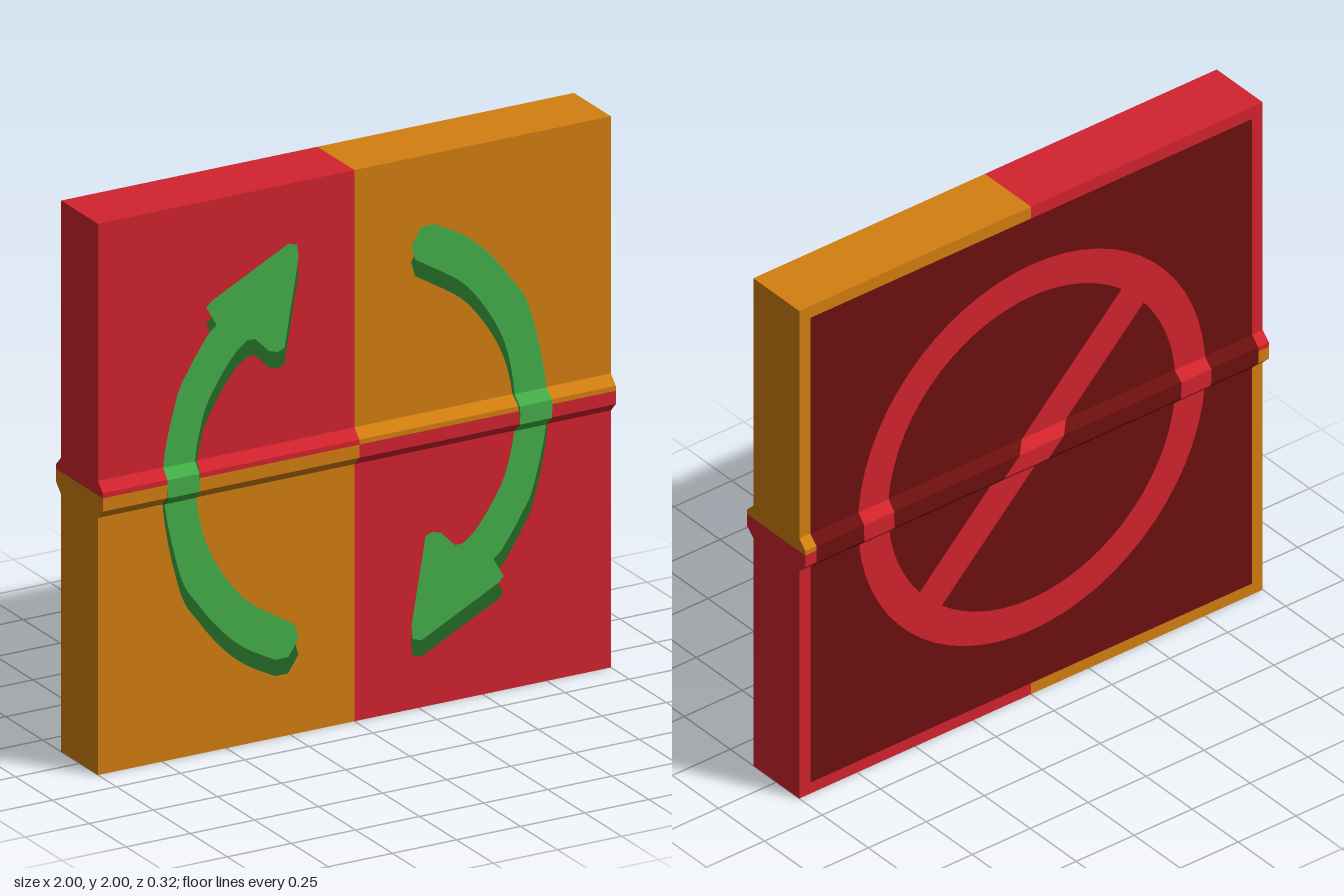
import * as THREE from 'three';

const mat = (name, color) => Object.assign(new THREE.MeshStandardMaterial({ color }), { name });

// Depth profile of the slab: [y, half depth], with the ridge round the middle
const PROFILE = [[0, 0.125], [0.933, 0.125], [0.967, 0.158], [1.033, 0.158], [1.067, 0.125], [2, 0.125]];
const MID = 1.015;

function halfDepth(y) {
  for (let i = 1; i < PROFILE.length; i++) {
    const [y0, d0] = PROFILE[i - 1], [y1, d1] = PROFILE[i];
    if (y <= y1) return d0 + (d1 - d0) * (y - y0) / (y1 - y0);
  }
  return PROFILE[PROFILE.length - 1][1];
}

// Keep the part of a convex polygon where s * (y - level) >= 0
function clip(poly, level, s) {
  const out = [];
  poly.forEach((a, i) => {
    const b = poly[(i + 1) % poly.length];
    const da = s * (a.y - level), db = s * (b.y - level);
    if (da >= 0) out.push(a);
    if (da * db < 0) out.push(a.clone().lerp(b, da / (da - db)));
  });
  return out;
}

// Lay a flat shape on the front (side 1) or back (side -1), folding it over the ridge
function drape(name, shape, material, side, lift) {
  const flat = new THREE.ShapeGeometry(shape, 32).toNonIndexed().getAttribute('position');
  const pos = [];
  for (let t = 0; t < flat.count; t += 3) {
    const tri = [0, 1, 2].map(k => new THREE.Vector2(flat.getX(t + k), flat.getY(t + k)));
    for (let i = 1; i < PROFILE.length; i++) {
      const p = clip(clip(tri, PROFILE[i - 1][0], 1), PROFILE[i][0], -1);
      for (let k = 2; k < p.length; k++) {
        const fan = side > 0 ? [p[0], p[k - 1], p[k]] : [p[0], p[k], p[k - 1]];
        for (const v of fan) pos.push(v.x, v.y, side * (halfDepth(v.y) + lift));
      }
    }
  }
  const geo = new THREE.BufferGeometry();
  geo.setAttribute('position', new THREE.Float32BufferAttribute(pos, 3));
  geo.computeVertexNormals();
  const mesh = new THREE.Mesh(geo, material);
  mesh.name = name;
  return mesh;
}

// One quarter of the slab: its side profile extruded along x
function quarter(name, x, upper, material) {
  const edge = PROFILE.filter(([y]) => upper ? y > MID : y < MID);
  const cut = [MID, halfDepth(MID)];
  if (upper) edge.unshift(cut); else edge.push(cut);
  const outline = [
    ...edge.map(([y, d]) => new THREE.Vector2(d, y)),
    ...edge.slice().reverse().map(([y, d]) => new THREE.Vector2(-d, y)),
  ];
  const geo = new THREE.ExtrudeGeometry(new THREE.Shape(outline), { depth: 1, bevelEnabled: false });
  geo.rotateY(Math.PI / 2).translate(x, 0, 0);
  const mesh = new THREE.Mesh(geo, material);
  mesh.name = name;
  return mesh;
}

// Curved arrow; turn = -1 gives the half-turned partner, drop lowers it
function arrowShape(turn, drop) {
  const pt = ([x, y]) => new THREE.Vector2(turn * x, MID + turn * y - drop);
  const head = [[-0.565, 0.51], [-0.54, 0.53], [-0.58, 0.6], [-0.56, 0.62], [-0.26, 0.77], [-0.225, 0.76],
    [-0.22, 0.71], [-0.275, 0.395], [-0.3, 0.385], [-0.335, 0.395], [-0.39, 0.45], [-0.42, 0.45]];
  const inner = [[-0.47, 0.41], [-0.54, 0.315], [-0.595, 0.2], [-0.625, 0], [-0.58, -0.255], [-0.445, -0.47],
    [-0.285, -0.585]];
  const tail = [[-0.235, -0.615], [-0.22, -0.67], [-0.26, -0.73], [-0.31, -0.73]];
  const outer = [[-0.42, -0.67], [-0.51, -0.595], [-0.605, -0.48], [-0.685, -0.34], [-0.75, 0], [-0.7, 0.28],
    [-0.645, 0.395], [-0.575, 0.5]];
  const s = new THREE.Shape(head.map(pt));
  s.splineThru(inner.map(pt));
  tail.map(pt).forEach(p => s.lineTo(p.x, p.y));
  s.splineThru(outer.map(pt));
  return s;
}

const rectShape = (cx, cy, w, h, angle = 0) => new THREE.Shape(
  [[-1, -1], [1, -1], [1, 1], [-1, 1]].map(([a, b]) => new THREE.Vector2(a * w / 2, b * h / 2)
    .rotateAround(new THREE.Vector2(), angle).add(new THREE.Vector2(cx, cy))));

export function createModel() {
  const red = mat('red', 0xd2232e);
  const orange = mat('orange', 0xd37f10);
  const green = mat('green', 0x44af48);
  const darkGreen = mat('dark green', 0x246b25);
  const maroon = mat('maroon', 0x6c0f0e);
  const model = new THREE.Group();
  model.name = 'signPanel';

  // Chequered slab
  model.add(
    quarter('upperRightQuarter', -1, true, red),
    quarter('upperLeftQuarter', 0, true, orange),
    quarter('lowerRightQuarter', -1, false, orange),
    quarter('lowerLeftQuarter', 0, false, red),
  );

  // Pair of circling arrows on the front, each with a dark lower edge
  for (const turn of [1, -1]) {
    const name = turn > 0 ? 'upArrow' : 'downArrow';
    model.add(drape(name + 'Edge', arrowShape(turn, 0.06), darkGreen, 1, 0.002));
    model.add(drape(name, arrowShape(turn, 0), green, 1, 0.004));
  }

  // Framed back panel with a barred ring
  model.add(drape('backPanel', rectShape(0, 1, 1.906, 1.906), maroon, -1, 0.002));
  const ring = new THREE.Shape().absarc(0, MID, 0.75, 0, Math.PI * 2);
  ring.holes.push(new THREE.Path().absarc(0, MID, 0.62, 0, Math.PI * 2, true));
  model.add(drape('ring', ring, red, -1, 0.004));
  model.add(drape('ringBar', rectShape(0, MID, 1.3, 0.135, -Math.PI / 4), red, -1, 0.004));

  return model;
}
